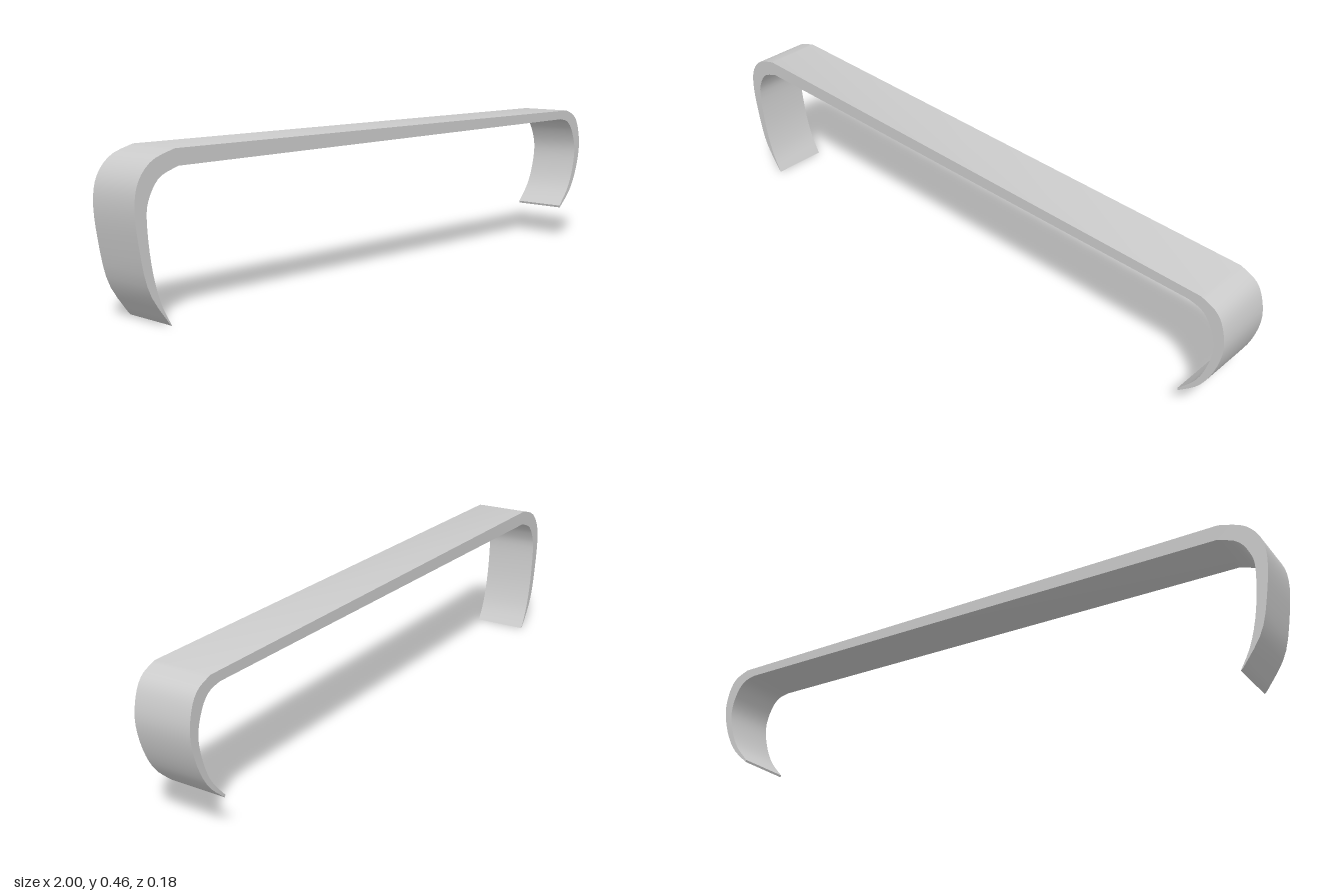
import * as THREE from 'three';
import { toCreasedNormals } from 'three/addons/utils/BufferGeometryUtils.js';

const WIDTH = 0.18;
const points = (list) => list.map(([x, y]) => new THREE.Vector2(x, y));

// Hook profiles, each tapering from the bar to a thin tip
const rightOuter = points([[0.88, 0.107], [0.94, 0.165], [0.979, 0.24], [0.998, 0.325], [0.987, 0.396], [0.96, 0.44], [0.91, 0.462]]);
const leftOuter = points([[-0.87, 0.462], [-0.942, 0.437], [-0.986, 0.388], [-1, 0.32], [-0.99, 0.22], [-0.962, 0.1], [-0.9, 0.006]]);
const leftInner = points([[-0.893, 0], [-0.928, 0.07], [-0.953, 0.17], [-0.964, 0.29], [-0.953, 0.345], [-0.92, 0.392], [-0.86, 0.416]]);
const rightInner = points([[0.875, 0.432], [0.918, 0.42], [0.948, 0.385], [0.968, 0.32], [0.957, 0.245], [0.928, 0.175], [0.878, 0.114]]);

export function createModel() {
  const group = new THREE.Group();
  group.name = 'clip';

  // One closed outline: curved hooks joined by the straight bar
  const outline = new THREE.Shape();
  outline.moveTo(rightOuter[0].x, rightOuter[0].y);
  outline.splineThru(rightOuter.slice(1));
  for (const run of [leftOuter, leftInner, rightInner]) {
    outline.lineTo(run[0].x, run[0].y);
    outline.splineThru(run.slice(1));
  }
  outline.closePath();

  const geometry = new THREE.ExtrudeGeometry(outline, { depth: WIDTH, bevelEnabled: false, curveSegments: 3 });
  geometry.translate(0, 0, -WIDTH / 2);

  const strip = new THREE.Mesh(
    toCreasedNormals(geometry, Math.PI / 6),
    new THREE.MeshStandardMaterial({ color: 0xcccccc })
  );
  strip.name = 'hookedStrip';
  group.add(strip);
  return group;
}
